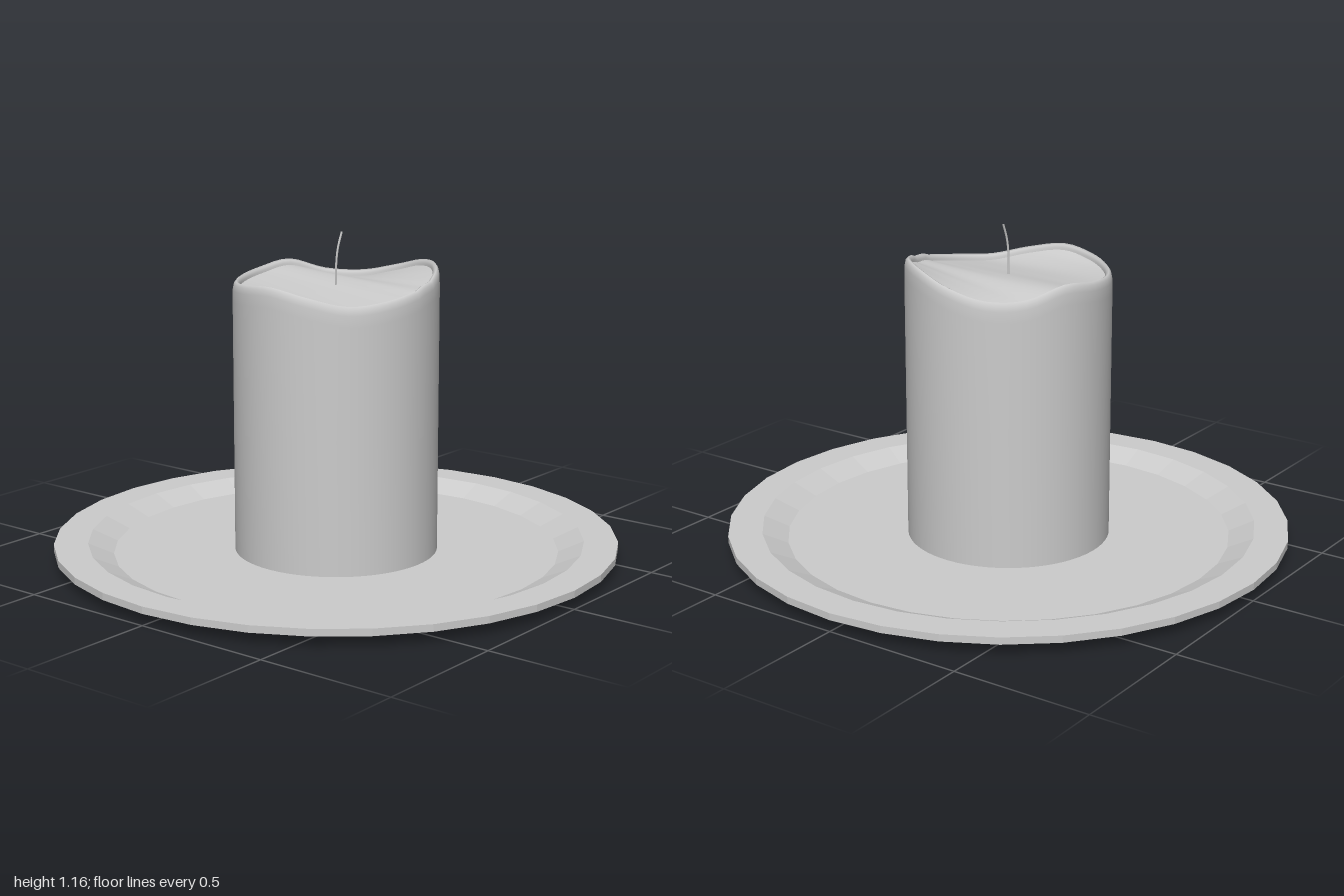
import * as THREE from 'three';
import { mergeVertices } from 'three/addons/utils/BufferGeometryUtils.js';

// Candle rim heights every 22.5 degrees, from +x turning towards +z
const RIM = [0.99, 0.968, 0.958, 0.985, 1.01, 1.0, 0.99, 0.99,
  1.0, 1.015, 0.975, 0.97, 1.0, 1.035, 1.042, 1.02];
const rimCurve = new THREE.CatmullRomCurve3(
  RIM.map((h, i) => new THREE.Vector3(i, h, 0)), true);

function rimHeight(angle) {
  const turn = angle / (2 * Math.PI);
  return rimCurve.getPoint(turn - Math.floor(turn)).y;
}

const profile = (pairs) => pairs.map(([r, y]) => new THREE.Vector2(r, y));

function addMesh(group, name, geometry, options = {}) {
  const mesh = new THREE.Mesh(geometry,
    new THREE.MeshStandardMaterial({ color: 0xcccccc, ...options }));
  mesh.name = name;
  group.add(mesh);
}

// Wax wall: a lathe whose upper rings follow the wavy rim
function waxWall() {
  let geo = new THREE.LatheGeometry(profile([
    [0.36, 0.025], [0.36, 0.5], [0.36, 0.93], [0.359, 0.97], [0.355, 0.99], [0.347, 1.0],
    [0.339, 0.996], [0.335, 0.985], [0.334, 0.97]]), 64);
  const pos = geo.attributes.position;
  for (let i = 0; i < pos.count; i++) {
    if (pos.getY(i) < 0.6) continue;
    const angle = Math.atan2(pos.getZ(i), pos.getX(i));
    pos.setY(i, pos.getY(i) + rimHeight(angle) - 1);
  }
  geo.deleteAttribute('uv');
  geo.deleteAttribute('normal');
  geo = mergeVertices(geo, 1e-5);
  geo.computeVertexNormals();
  return geo;
}

// Wax top: straight chords spanning the wavy inner edge
function waxTop() {
  const geo = new THREE.PlaneGeometry(1, 1, 8, 48);
  const { position, uv } = geo.attributes;
  const edge = (angle) => new THREE.Vector3(
    0.335 * Math.cos(angle), rimHeight(angle) - 0.022, 0.335 * Math.sin(angle));
  const back = 0.21 - Math.PI / 2;
  for (let i = 0; i < position.count; i++) {
    const t = THREE.MathUtils.lerp(0.02, Math.PI - 0.02, 1 - uv.getY(i));
    const p = edge(back - t).lerp(edge(back + t), uv.getX(i));
    position.setXYZ(i, p.x, p.y, p.z);
  }
  geo.computeVertexNormals();
  return geo;
}

export function createModel() {
  const model = new THREE.Group();
  model.name = 'candleOnPlate';

  // Faceted plate with a raised flat rim
  addMesh(model, 'plate', new THREE.LatheGeometry(profile([
    [0, 0], [0.79, 0], [0.88, 0.04], [1, 0.04],
    [1, 0.065], [0.88, 0.065], [0.79, 0.025], [0, 0.025]]), 32), { flatShading: true });

  // Candle
  const candle = new THREE.Group();
  candle.name = 'candle';
  addMesh(candle, 'waxWall', waxWall());
  addMesh(candle, 'waxTop', waxTop(), { side: THREE.DoubleSide });

  // Thin wick leaning to the back
  const wickPath = new THREE.CatmullRomCurve3([
    [0, 0.96, 0], [0, 1.04, 0], [0.002, 1.1, -0.007], [0.005, 1.155, -0.025],
  ].map((p) => new THREE.Vector3(...p)));
  addMesh(candle, 'wick', new THREE.TubeGeometry(wickPath, 12, 0.004, 6));
  model.add(candle);

  return model;
}
